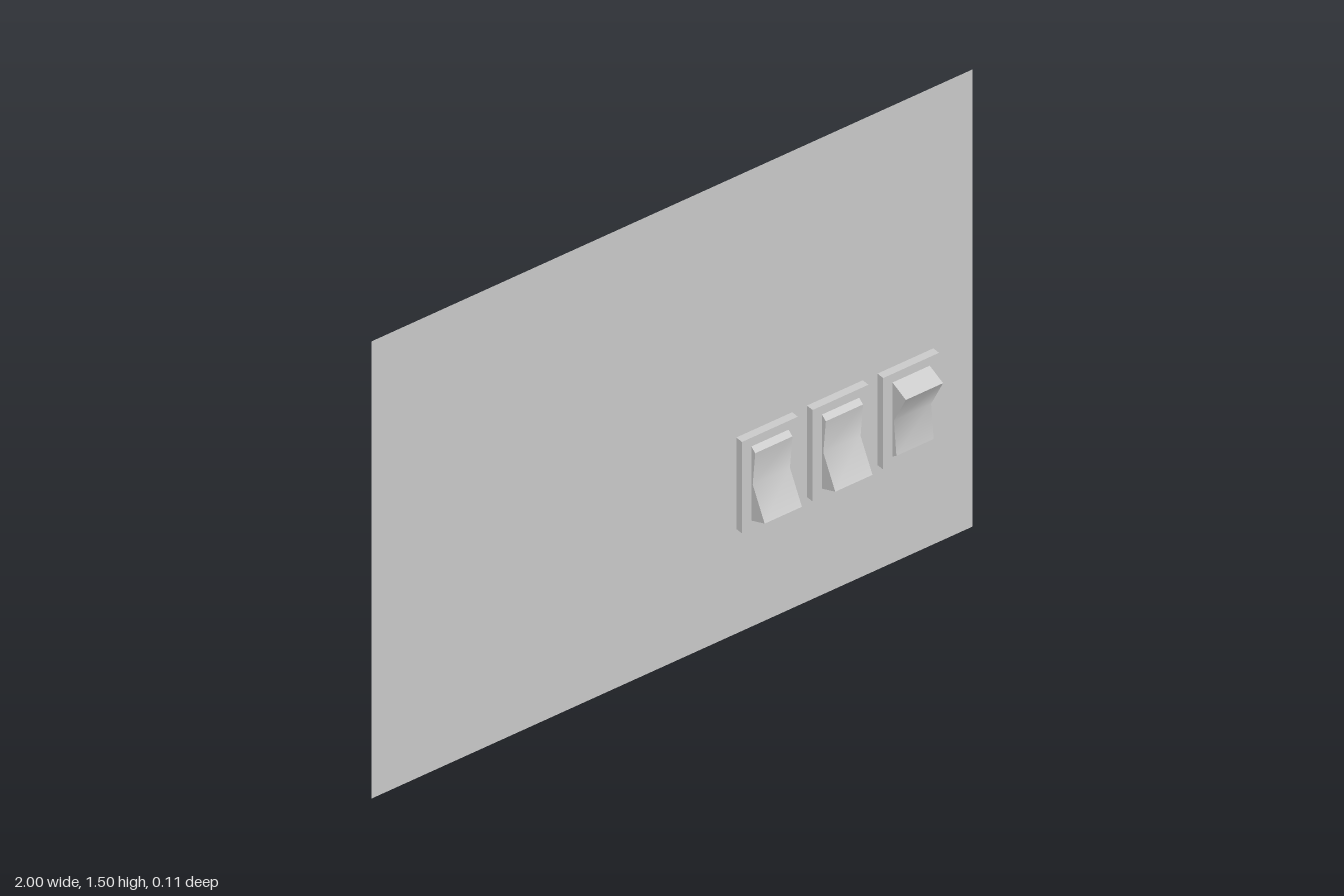
import * as THREE from 'three';
import { toCreasedNormals } from 'three/addons/utils/BufferGeometryUtils.js';

const grey = new THREE.MeshStandardMaterial({ color: 0xcccccc });
const thin = new THREE.MeshStandardMaterial({ color: 0xcccccc, side: THREE.DoubleSide });

const CENTRE_Y = 0.493;
const FRAME = { w: 0.186, h: 0.3, back: -0.053, front: -0.005 };
const ROCKER_W = 0.124;

// Open-backed box: the last six box indices are the -z face
function frameGeometry() {
  const depth = FRAME.front - FRAME.back;
  const geo = new THREE.BoxGeometry(FRAME.w, FRAME.h, depth);
  geo.setIndex(Array.from(geo.index.array).slice(0, 30));
  geo.clearGroups();
  return geo.translate(0, 0, (FRAME.front + FRAME.back) / 2);
}

// Rocker side profile (z, y) with the upper end raised, extruded across x
function rockerGeometry() {
  const profile = [
    [-0.006, -0.122], [0.012, -0.109], [0.001, 0], [0.053, 0.098], [-0.006, 0.122],
  ];
  const shape = new THREE.Shape(profile.map(([z, y]) => new THREE.Vector2(z, y)));
  const geo = new THREE.ExtrudeGeometry(shape, { depth: ROCKER_W, bevelEnabled: false });
  geo.translate(0, 0, -ROCKER_W / 2).rotateY(-Math.PI / 2);
  // Shape x now runs along +z; the bend in the face stays smooth
  return toCreasedNormals(geo, 0.8);
}

export function createModel() {
  const model = new THREE.Group();
  model.name = 'switchPanel';

  // Thin wall plate
  const plate = new THREE.Mesh(new THREE.PlaneGeometry(2, 1.5), thin);
  plate.name = 'wallPlate';
  plate.position.set(0, 0.75, -0.03);
  model.add(plate);

  // Row of three rocker switches, the last one tipped the other way
  const frameGeo = frameGeometry();
  const rockerGeo = rockerGeometry();
  [[0.307, false], [0.542, false], [0.777, true]].forEach(([x, topRaised], i) => {
    const unit = new THREE.Group();
    unit.name = `switch${i + 1}`;
    unit.position.set(x, CENTRE_Y, 0);

    const frame = new THREE.Mesh(frameGeo, thin);
    frame.name = 'switchFrame';
    const rocker = new THREE.Mesh(rockerGeo, grey);
    rocker.name = 'rocker';
    if (!topRaised) rocker.rotation.z = Math.PI;

    unit.add(frame, rocker);
    model.add(unit);
  });

  return model;
}
